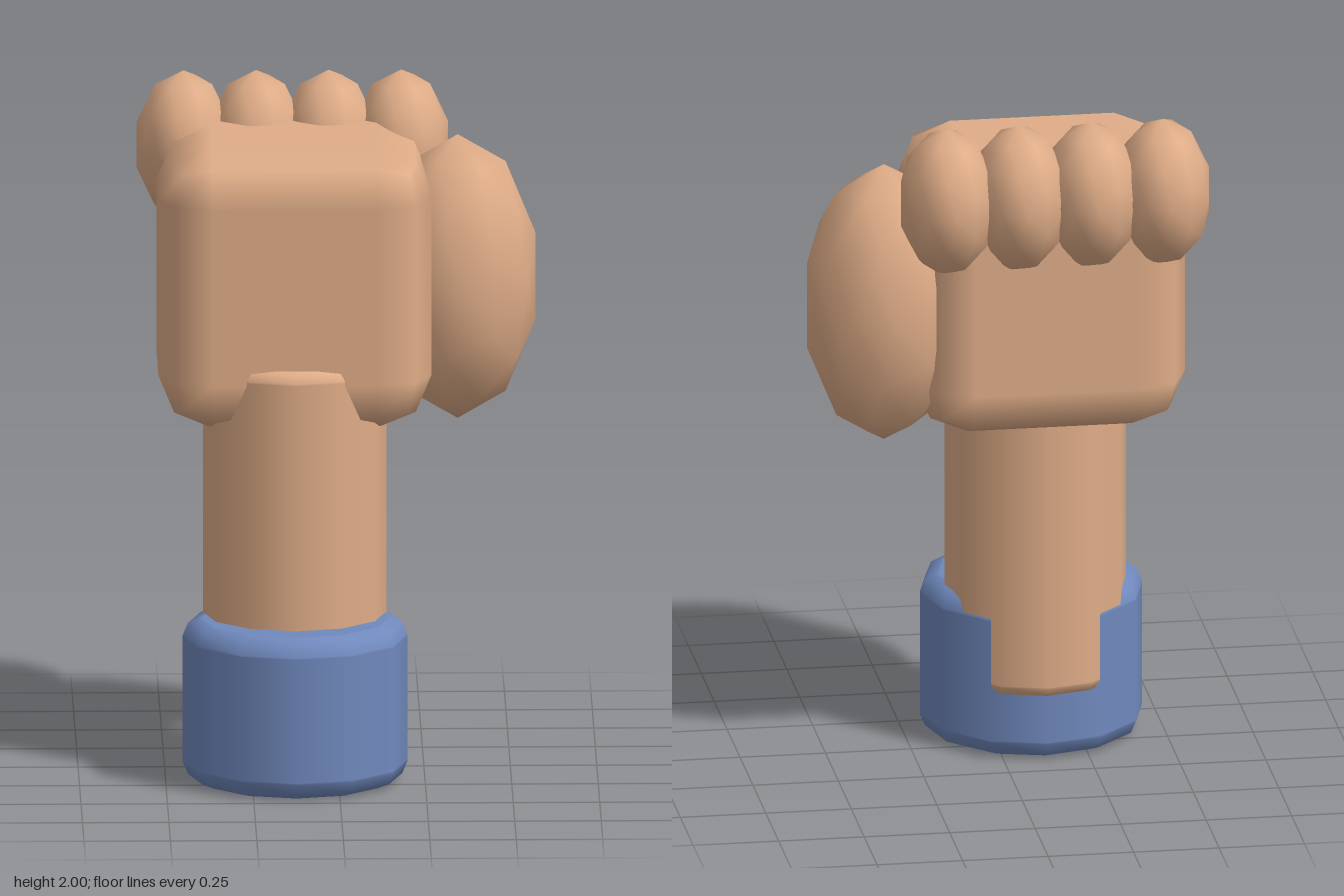
import * as THREE from 'three';

const skin = new THREE.MeshStandardMaterial({ color: 0xe0ad88 });
const cloth = new THREE.MeshStandardMaterial({ color: 0x7089bd });

// Box with a two-step rounded bevel: outer grid lines sit on the bevel start
function bevelBox(w, h, d, r) {
  const g = new THREE.BoxGeometry(1, 1, 1, 3, 3, 3);
  const p = g.attributes.position, n = g.attributes.normal;
  const inner = new THREE.Vector3(w / 2 - r, h / 2 - r, d / 2 - r);
  const low = inner.clone().negate();
  const half = new THREE.Vector3(w / 2, h / 2, d / 2);
  const place = (t, k) => {
    const a = Math.abs(t);
    return Math.sign(t) * (a > 0.4 ? half[k] : inner[k]);
  };
  for (let i = 0; i < p.count; i++) {
    const v = new THREE.Vector3(place(p.getX(i), 'x'), place(p.getY(i), 'y'), place(p.getZ(i), 'z'));
    const core = v.clone().clamp(low, inner);
    const dir = v.sub(core).normalize();
    n.setXYZ(i, dir.x, dir.y, dir.z);
    core.addScaledVector(dir, r);
    p.setXYZ(i, core.x, core.y, core.z);
  }
  return g;
}

// Twelve-sided cylinder with rounded rims, from y0 to y1
function bevelCylinder(r, y0, y1, b) {
  const pts = [[0, y0], [r - b - 0.005, y0]];
  for (let i = 0; i <= 2; i++) {
    const a = (i * Math.PI) / 4;
    pts.push([r - b + b * Math.sin(a), y0 + b - b * Math.cos(a)]);
  }
  pts.push([r, y0 + b + 0.005], [r, y1 - b - 0.005]);
  for (let i = 0; i <= 2; i++) {
    const a = (i * Math.PI) / 4;
    pts.push([r - b + b * Math.cos(a), y1 - b + b * Math.sin(a)]);
  }
  pts.push([r - b - 0.005, y1], [0, y1]);
  return new THREE.LatheGeometry(pts.map(([x, y]) => new THREE.Vector2(x, y)), 12);
}

// Low-poly ellipsoid with its five-fold poles along z
function blob(rx, ry, rz) {
  return new THREE.IcosahedronGeometry(1, 1)
    .rotateX(Math.atan(2 / (1 + Math.sqrt(5))))
    .rotateZ(-Math.PI / 2)
    .scale(rx, ry, rz);
}

export function createModel() {
  const model = new THREE.Group();
  const add = (name, geometry, material, x, y, z) => {
    const mesh = new THREE.Mesh(geometry, material);
    mesh.name = name;
    mesh.position.set(x, y, z);
    model.add(mesh);
  };

  // Sleeve cuff and forearm
  add('cuff', bevelCylinder(0.325, 0.005, 0.48, 0.05), cloth, -0.125, 0, 0.16);
  add('forearm', bevelCylinder(0.265, 0.2, 1.24, 0.03), skin, -0.125, 0, 0.08);

  // Fist
  add('palm', bevelBox(0.79, 0.83, 0.66, 0.155), skin, -0.125, 1.455, -0.03);
  add('thumb', blob(0.236, 0.42, 0.236), skin, 0.35, 1.425, -0.135);

  // Curled fingers
  for (let i = 0; i < 4; i++) {
    add('finger' + (i + 1), blob(0.142, 0.22, 0.186), skin, -0.44 + i * 0.21, 1.78, -0.303);
  }
  return model;
}
